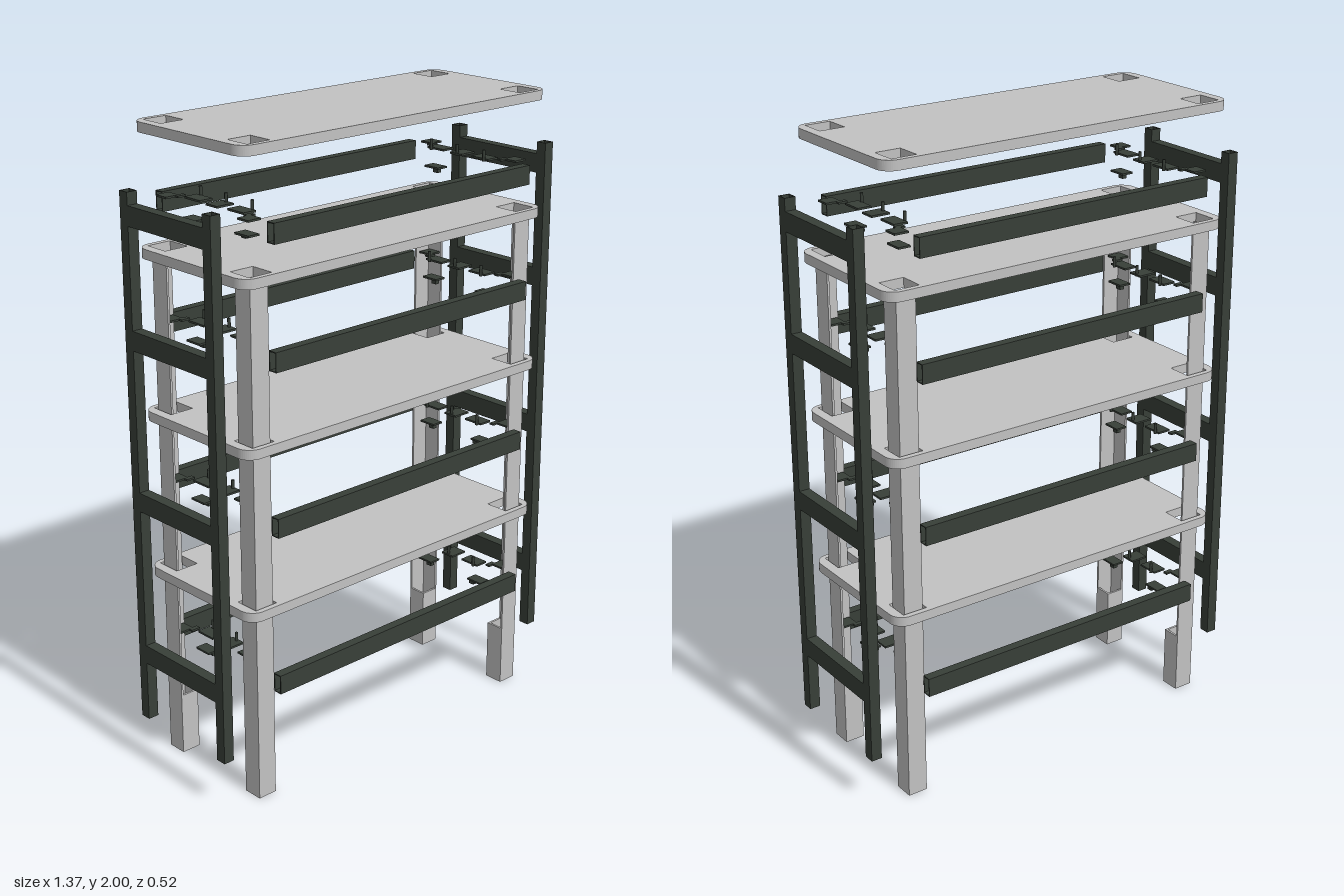
import * as THREE from 'three';

const board = new THREE.MeshStandardMaterial({ color: 0xc2c2c2 });
board.name = 'lightGrey';
const steel = new THREE.MeshStandardMaterial({ color: 0x383f38 });
steel.name = 'darkSteel';

const LEVELS = [1.752, 1.386, 0.886, 0.383];   // rail heights
const SHELVES = [1.97, 1.605, 1.11, 0.605];    // shelf undersides
const LEG = { x: 0.534, z: 0.185, size: 0.064, wall: 0.007, top: 1.61, cut: 0.2 };
const SIDES = [-1, 1];

function add(parent, name, geometry, material, x = 0, y = 0, z = 0) {
  const mesh = new THREE.Mesh(geometry, material);
  mesh.name = name;
  mesh.position.set(x, y, z);
  parent.add(mesh);
  return mesh;
}

function box(parent, name, material, w, h, d, x, y, z) {
  return add(parent, name, new THREE.BoxGeometry(w, h, d), material, x, y, z);
}

function rectPath(Type, w, h, x = 0, y = 0) {
  const p = new Type();
  p.moveTo(x - w / 2, y - h / 2);
  p.lineTo(x + w / 2, y - h / 2);
  p.lineTo(x + w / 2, y + h / 2);
  p.lineTo(x - w / 2, y + h / 2);
  p.closePath();
  return p;
}

// Open rectangular tube running along z, centred
function tube(w, h, length, wall) {
  const s = rectPath(THREE.Shape, w, h);
  s.holes.push(rectPath(THREE.Path, w - 2 * wall, h - 2 * wall));
  return new THREE.ExtrudeGeometry(s, { depth: length, bevelEnabled: false }).translate(0, 0, -length / 2);
}

// Rounded shelf board with four square leg openings
function shelfGeometry() {
  const w = 0.605, d = 0.243, r = 0.045;
  const s = new THREE.Shape();
  s.moveTo(-w + r, -d);
  s.lineTo(w - r, -d);
  s.absarc(w - r, -d + r, r, -Math.PI / 2, 0);
  s.lineTo(w, d - r);
  s.absarc(w - r, d - r, r, 0, Math.PI / 2);
  s.lineTo(-w + r, d);
  s.absarc(-w + r, d - r, r, Math.PI / 2, Math.PI);
  s.lineTo(-w, -d + r);
  s.absarc(-w + r, -d + r, r, Math.PI, Math.PI * 1.5);
  for (const sx of SIDES) for (const sz of SIDES)
    s.holes.push(rectPath(THREE.Path, 0.08, 0.08, sx * LEG.x, sz * LEG.z));
  return new THREE.ExtrudeGeometry(s, { depth: 0.03, bevelEnabled: false, curveSegments: 6 }).rotateX(-Math.PI / 2);
}

// Leg: closed tube at the foot, angle section above, open towards the middle
function leg(sx, sz) {
  const g = new THREE.Group();
  g.name = 'leg';
  const { size, wall, top, cut } = LEG;
  const foot = tube(size, size, cut, wall).rotateX(Math.PI / 2);
  add(g, 'legFoot', foot, board, 0, cut / 2, 0);
  const h = top - cut, y = cut + h / 2, off = (size - wall) / 2;
  box(g, 'legOuterWall', board, wall, h, size, sx * off, y, 0);
  box(g, 'legFaceWall', board, size - wall, h, wall, -sx * wall / 2, y, sz * off);
  g.position.set(sx * LEG.x, 0, sz * LEG.z);
  return g;
}

// Ladder-like end frame: two posts and four rungs
function endFrame(sx) {
  const g = new THREE.Group();
  g.name = 'endFrame';
  for (const sz of SIDES) {
    const post = tube(0.035, 0.035, 1.66, 0.003).rotateX(Math.PI / 2);
    add(g, 'framePost', post, steel, 0, 0.99, sz * 0.183);
  }
  for (const y of LEVELS) add(g, 'frameRung', tube(0.035, 0.06, 0.331, 0.003), steel, 0, y, 0);
  g.position.x = sx * 0.667;
  return g;
}

// Loose fittings at one end of a level
function fittings(sx, y) {
  const g = new THREE.Group();
  g.name = 'fittings';
  for (const sz of SIDES) {
    box(g, 'cornerCap', steel, 0.046, 0.006, 0.046, sx * 0.533, y + 0.031, sz * 0.18);
    box(g, 'cornerTab', steel, 0.03, 0.006, 0.016, sx * 0.508, y + 0.031, sz * 0.152);
    box(g, 'upperPlate', steel, 0.045, 0.006, 0.07, sx * 0.488, y + 0.031, sz * 0.095);
    box(g, 'lowerPlate', steel, 0.04, 0.006, 0.06, sx * 0.488, y - 0.032, sz * 0.115);
    box(g, 'lowerClip', steel, 0.016, 0.014, 0.02, sx * 0.48, y - 0.04, sz * 0.1);
  }
  box(g, 'middlePlate', steel, 0.06, 0.006, 0.05, sx * 0.488, y + 0.031, 0);
  for (const z of [-0.113, 0, 0.113])
    add(g, 'bolt', new THREE.CylinderGeometry(0.005, 0.005, 0.035, 8), steel, sx * 0.465, y + 0.043, z);
  return g;
}

export function createModel() {
  const model = new THREE.Group();
  model.name = 'explodedShelfUnit';

  const shelfGeo = shelfGeometry();
  for (const y of SHELVES) {
    add(model, 'shelf', shelfGeo, board, 0, y, 0);
    // Threaded inserts below each board
    for (const sx of SIDES) for (const z of [-0.113, 0, 0.113])
      add(model, 'insert', new THREE.CylinderGeometry(0.009, 0.009, 0.018, 10), steel, sx * 0.463, y - 0.02, z);
  }

  // Long front and back rails
  const railGeo = tube(0.03, 0.06, 1.026, 0.003).rotateY(Math.PI / 2);
  for (const y of LEVELS) {
    for (const sz of SIDES) add(model, 'rail', railGeo, steel, 0, y, sz * 0.245);
    for (const sx of SIDES) model.add(fittings(sx, y));
  }

  for (const sx of SIDES) {
    model.add(endFrame(sx));
    for (const sz of SIDES) model.add(leg(sx, sz));
  }
  return model;
}
